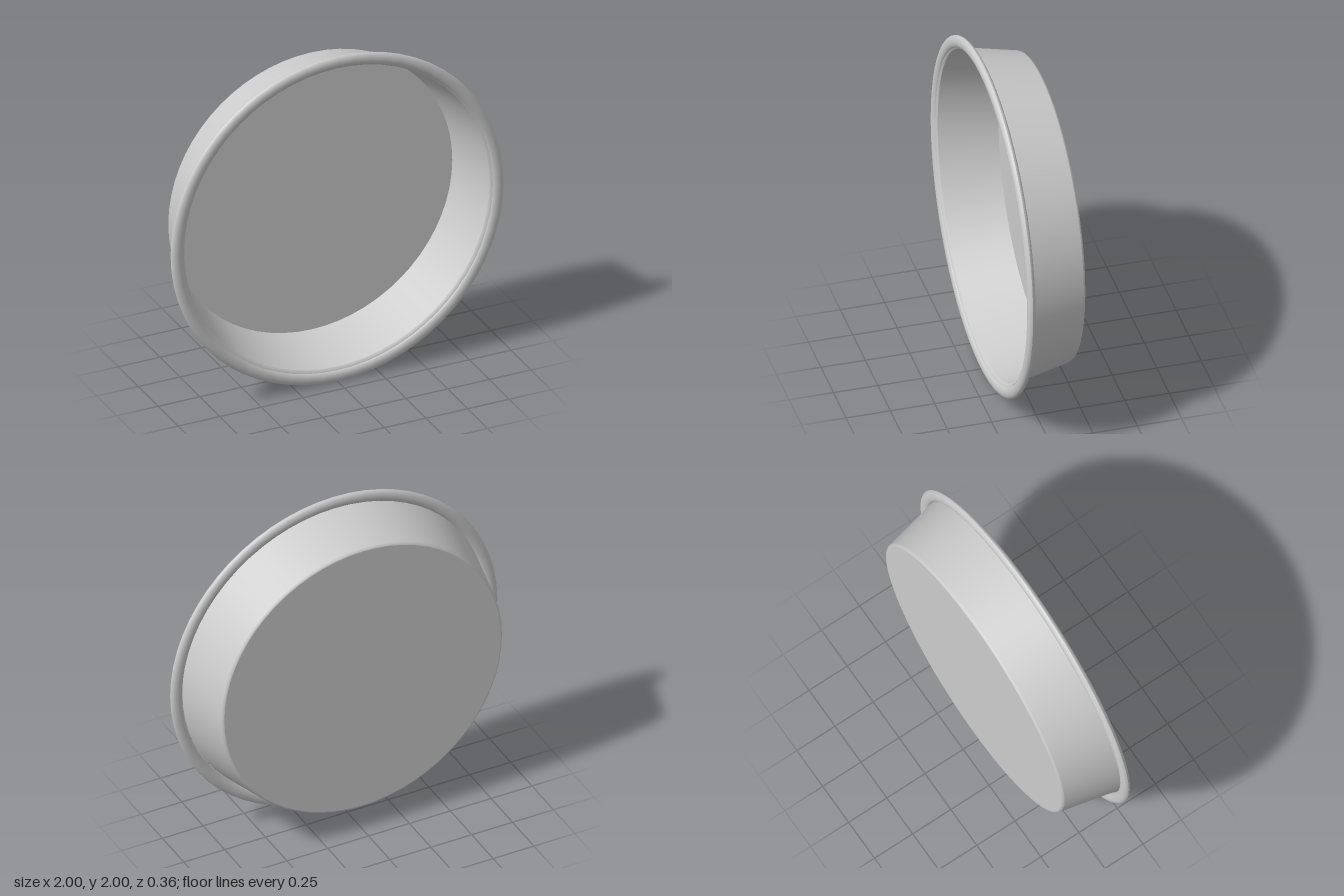
import * as THREE from 'three';

const SEGMENTS = 64;
const material = new THREE.MeshStandardMaterial({ color: 0xcccccc });

// Revolve a [radius, depth] profile; separate profiles keep the edges between them crisp
function revolve(name, profile) {
  const points = profile.map(([r, d]) => new THREE.Vector2(r, d));
  const mesh = new THREE.Mesh(new THREE.LatheGeometry(points, SEGMENTS), material);
  mesh.name = name;
  return mesh;
}

export function createModel() {
  const model = new THREE.Group();
  model.name = 'roundPan';

  const pan = new THREE.Group();
  pan.name = 'pan';

  // Underside and floor, a thin sheet apart
  pan.add(revolve('underside', [[0, -0.18], [0.846, -0.18]]));
  pan.add(revolve('floor', [[0.848, -0.168], [0, -0.168]]));

  // Small rounded corner where the underside meets the wall
  pan.add(revolve('bottomEdge', [[0.846, -0.18], [0.854, -0.177], [0.859, -0.168]]));

  // Flared wall, outside and inside
  pan.add(revolve('outerWall', [[0.859, -0.168], [0.928, 0.155]]));
  pan.add(revolve('innerWall', [[0.918, 0.155], [0.848, -0.168]]));

  // Rolled rim with an oval section
  const rim = [];
  for (let i = 0; i <= 16; i++) {
    const a = (i / 16) * Math.PI * 2;
    rim.push([0.965 + 0.035 * Math.cos(a), 0.157 + 0.022 * Math.sin(a)]);
  }
  pan.add(revolve('rolledRim', rim));

  // Narrow lip joining the inner wall to the rim
  pan.add(revolve('innerLip', [[0.936, 0.166], [0.926, 0.163], [0.918, 0.155]]));

  // Stand the pan on its edge, opening to the front
  pan.rotation.x = Math.PI / 2;
  pan.position.y = 1;
  // The body sits slightly above the centre of the rim
  pan.children.forEach((m) => {
    if (m.name !== 'rolledRim') m.position.z = -0.006;
  });

  model.add(pan);
  return model;
}
